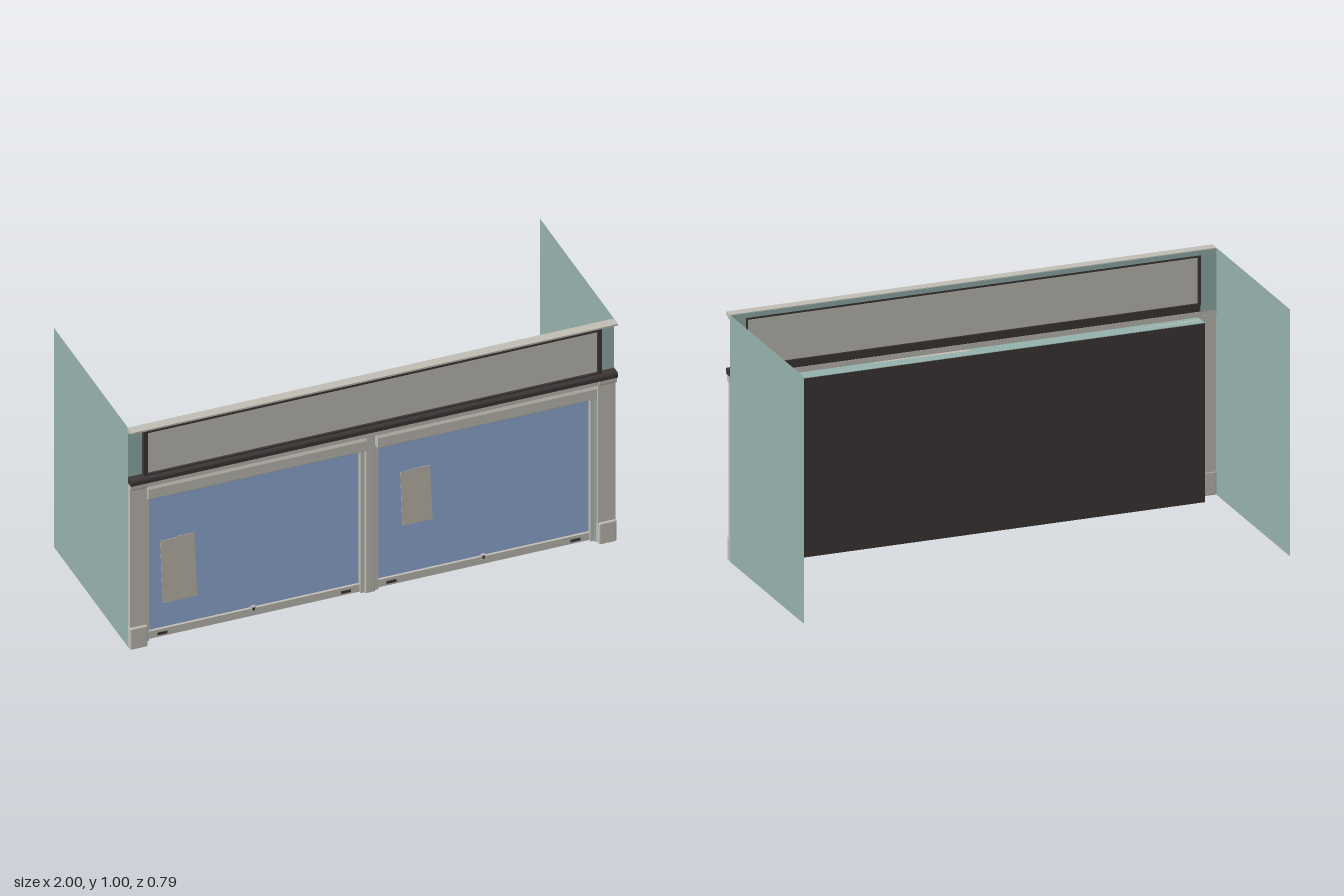
import * as THREE from 'three';
import { RoundedBoxGeometry } from 'three/addons/geometries/RoundedBoxGeometry.js';

export function createModel() {
  const group = new THREE.Group();
  const mat = (name, color) => Object.assign(
    new THREE.MeshStandardMaterial({ color, side: THREE.DoubleSide }), { name });
  const stone = mat('warm grey', 0xc0bdb4);
  const teal = mat('faded teal', 0x94b0ab);
  const dark = mat('charcoal', 0x3d3736);
  const blue = mat('shutter blue', 0x8ca5cd);
  const paper = mat('paper', 0xc0bbae);

  const add = (name, geo, material, parent = group) => {
    const mesh = new THREE.Mesh(geo, material);
    mesh.name = name;
    parent.add(mesh);
    return mesh;
  };
  // Box given by its limits, optionally with rounded edges
  const box = (name, m, x0, x1, y0, y1, z0, z1, r = 0, parent = group) => {
    const s = [x1 - x0, y1 - y0, z1 - z0];
    const geo = r ? new RoundedBoxGeometry(...s, 2, r) : new THREE.BoxGeometry(...s);
    geo.translate((x0 + x1) / 2, (y0 + y1) / 2, (z0 + z1) / 2);
    return add(name, geo, m, parent);
  };
  // Moulding: a [z, y] section swept from x0 to x1
  const moulding = (name, m, pts, x0, x1, parent = group) => {
    const shape = new THREE.Shape(pts.map(p => new THREE.Vector2(p[0], p[1])));
    const geo = new THREE.ExtrudeGeometry(shape, { depth: x1 - x0, bevelEnabled: false });
    geo.rotateY(-Math.PI / 2).translate(x1, 0, 0);
    return add(name, geo, m, parent);
  };

  // Side walls, upper corner walls, pilasters and the interior's side returns
  for (const s of [-1, 1]) {
    const span = (a, b) => (s > 0 ? [a, b] : [-b, -a]);
    const wall = new THREE.PlaneGeometry(0.749, 1);
    wall.rotateY(s * Math.PI / 2).translate(s * 0.999, 0.5, -0.0185);
    add('sideWall', wall, teal);
    box('cornerWall', teal, ...span(0.935, 0.999), 0.75, 0.985, 0.352, 0.355);
    box('pilaster', stone, ...span(0.927, 0.998), 0.09, 0.73, 0.354, 0.371);
    box('pilasterBase', stone, ...span(0.928, 1), 0, 0.096, 0.352, 0.381, 0.006);
    moulding('pilasterCapital', stone,
      [[0.355, 0.722], [0.376, 0.722], [0.384, 0.733], [0.385, 0.75], [0.355, 0.75]], ...span(0.928, 1));
    box('interiorSide', teal, ...span(0.922, 0.926), 0, 0.727, 0.29, 0.356);
  }

  // Shallow interior behind the shutters
  box('interiorBack', dark, -0.925, 0.925, 0.002, 0.726, 0.288, 0.293);
  box('interiorTop', teal, -0.925, 0.925, 0.724, 0.728, 0.289, 0.355);
  box('interiorFloor', stone, -0.922, 0.922, 0, 0.003, 0.293, 0.333);

  // Cornices and beam
  moulding('topCornice', stone,
    [[0.354, 1], [0.354, 0.979], [0.367, 0.979], [0.375, 0.985], [0.395, 0.993], [0.395, 1]], -1, 1);
  box('wallTop', teal, -0.999, 0.999, 0.979, 0.998, 0.351, 0.354);
  moulding('signCornice', dark, [[0.355, 0.749], [0.386, 0.749], [0.392, 0.754], [0.392, 0.77],
    [0.386, 0.776], [0.355, 0.776]], -1, 1);
  box('beam', stone, -0.93, 0.93, 0.728, 0.75, 0.354, 0.38);

  // Recessed sign board with dark frame
  box('signBoard', stone, -0.93, 0.93, 0.775, 0.98, 0.361, 0.366);
  box('signFrameTop', dark, -0.94, 0.94, 0.97, 0.98, 0.354, 0.376);
  box('signFrameBottom', dark, -0.94, 0.94, 0.774, 0.783, 0.354, 0.376);
  for (const s of [-1, 1])
    box('signFrameSide', dark, s * 0.933 - 0.008, s * 0.933 + 0.008, 0.778, 0.978, 0.354, 0.376);

  // Centre post
  box('centrePost', stone, -0.022, 0.018, 0, 0.725, 0.294, 0.355, 0.004);

  // Roller shutters, set back between the guides
  const shutter = (x0, x1, lockX, slots) => {
    const g = new THREE.Group();
    g.name = 'rollerShutter';
    group.add(g);
    const n = 30, y0 = 0.036, pitch = 0.0209;
    const section = [[0.32, y0 + n * pitch], [0.32, y0]];
    for (let i = 0; i < n; i++) {
      const y = y0 + i * pitch;
      section.push([0.327, y + 0.001], [0.3255, y + pitch]);
    }
    moulding('slats', blue, section, x0, x1, g);
    moulding('hood', stone, [[0.32, 0.662], [0.371, 0.662], [0.376, 0.667], [0.376, 0.71],
      [0.368, 0.728], [0.32, 0.728]], x0 - 0.01, x1 + 0.01, g);
    box('bottomBar', stone, x0, x1, 0.003, 0.034, 0.318, 0.334, 0, g);
    for (const [a, b] of [[x0 - 0.012, x0 + 0.004], [x1 - 0.004, x1 + 0.012]])
      box('guideRail', stone, a, b, 0, 0.664, 0.318, 0.345, 0, g);
    for (const x of slots)
      box('handleSlot', dark, x - 0.02, x + 0.02, 0.01, 0.021, 0.33, 0.337, 0, g);
    box('lockPlate', stone, lockX - 0.009, lockX + 0.009, 0.022, 0.043, 0.326, 0.337, 0, g);
    box('keyhole', dark, lockX - 0.005, lockX + 0.005, 0.027, 0.038, 0.334, 0.339, 0, g);
  };
  shutter(-0.913, -0.035, -0.475, [-0.85, -0.095]);
  shutter(0.031, 0.91, 0.47, [0.092, 0.848]);

  // Posters stuck on the shutters
  const poster = pts => {
    const shape = new THREE.Shape(pts.map(p => new THREE.Vector2(p[0], p[1])));
    const geo = new THREE.ExtrudeGeometry(shape, { depth: 0.002, bevelEnabled: false });
    add('poster', geo.translate(0, 0, 0.3265), paper);
  };
  poster([[-0.845, 0.145], [-0.703, 0.145], [-0.715, 0.437], [-0.79, 0.437], [-0.792, 0.431], [-0.856, 0.431]]);
  poster([[0.14, 0.253], [0.264, 0.253], [0.253, 0.502], [0.17, 0.502], [0.168, 0.498], [0.131, 0.498]]);

  return group;
}
